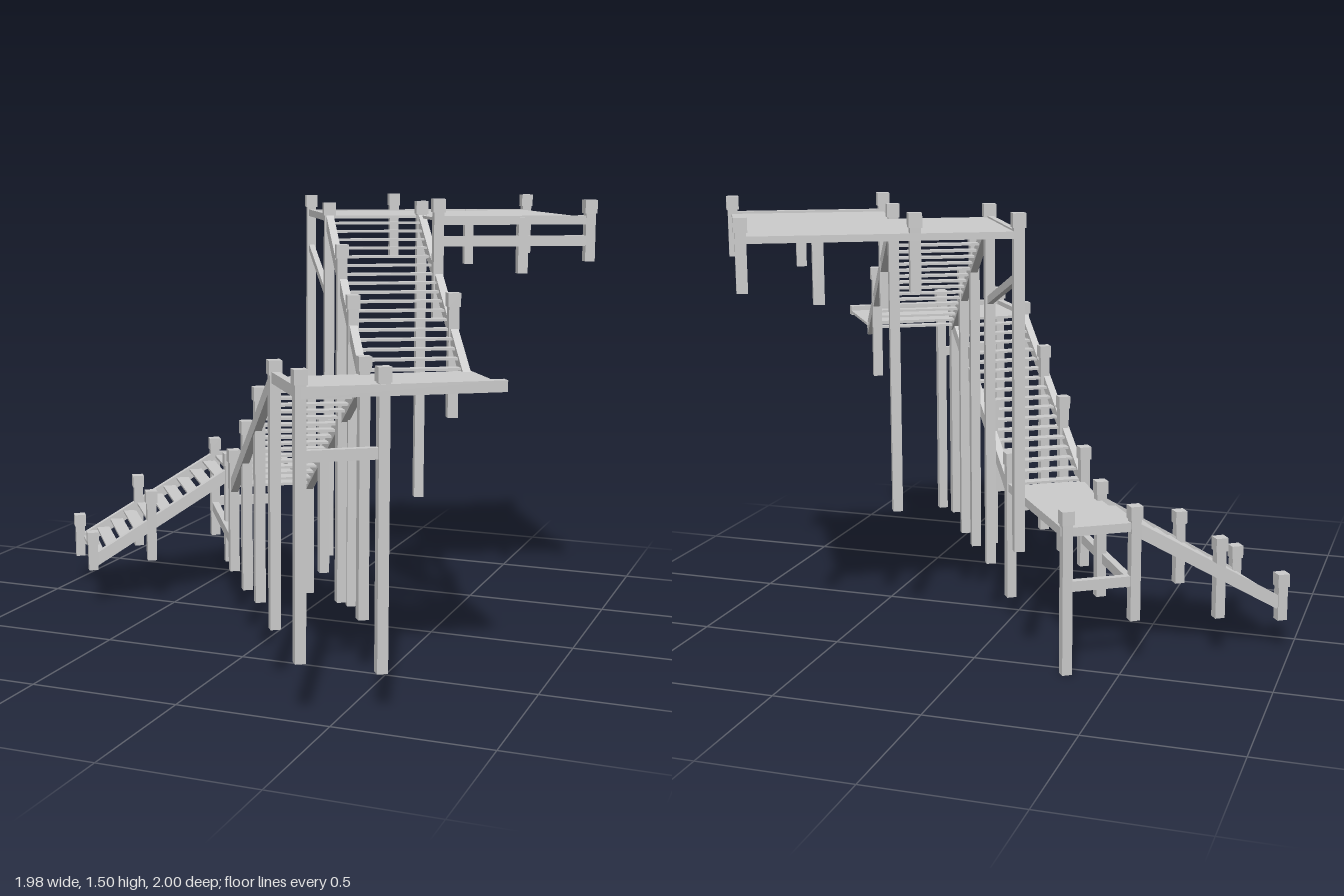
import * as THREE from 'three';

export function createModel() {
  const model = new THREE.Group();
  const timber = new THREE.MeshStandardMaterial({ color: 0xcccccc });
  timber.name = 'greyTimber';
  const V = (x, y, z) => new THREE.Vector3(x, y, z);

  const add = (name, geometry) => {
    const mesh = new THREE.Mesh(geometry, timber);
    mesh.name = name;
    model.add(mesh);
    return mesh;
  };

  // Straight timber between two points
  const beam = (name, a, b, w = 0.025, h = 0.035) => {
    const mesh = add(name, new THREE.BoxGeometry(w, h, a.distanceTo(b)));
    mesh.position.copy(a).lerp(b, 0.5);
    mesh.lookAt(b);
  };

  // Square post with a slightly wider cap
  const post = (name, x, z, bottom, top, yaw, cap = true) => {
    const shaft = add(name, new THREE.BoxGeometry(0.034, top - bottom, 0.034));
    shaft.position.set(x, (top + bottom) / 2, z);
    shaft.rotation.y = yaw;
    if (!cap) return;
    const head = add(name + 'Cap', new THREE.BoxGeometry(0.042, 0.045, 0.042));
    head.position.set(x, top - 0.02, z);
    head.rotation.y = yaw;
  };

  // Thin floor sheet from an [x, z] outline
  const floor = (name, y, outline) => {
    const shape = new THREE.Shape(outline.map(([x, z]) => new THREE.Vector2(x, z)));
    const g = new THREE.ExtrudeGeometry(shape, { depth: 0.01, bevelEnabled: false });
    g.rotateX(Math.PI / 2);
    add(name, g).position.y = y;
  };

  // Two stringers and a run of open treads
  const stair = (name, a0, a1, b0, b1, count) => {
    beam(name + 'Stringer', a0, a1, 0.026, 0.042);
    beam(name + 'Stringer', b0, b1, 0.026, 0.042);
    const run = Math.hypot(a1.x - a0.x, a1.z - a0.z);
    for (let i = 0; i < count; i++) {
      const t = (i + 0.5) / count;
      beam(name + 'Tread', a0.clone().lerp(a1, t), b0.clone().lerp(b1, t), (run / count) * 0.92, 0.008);
    }
  };

  const lowYaw = -0.963, highYaw = -1.063;

  // Lower flight
  stair('lowerStair', V(-0.955, 0.17, -0.123), V(-0.525, 0.475, -0.42),
    V(-0.763, 0.165, 0.138), V(-0.34, 0.475, -0.148), 10);
  // Middle flight
  stair('middleStair', V(-0.22, 0.475, 0.075), V(0.198, 0.965, 0.694),
    V(0.01, 0.475, -0.07), V(0.435, 0.96, 0.54), 17);
  // Upper flight
  stair('upperStair', V(0.44, 0.94, 0.545), V(0.07, 1.425, -0.115),
    V(0.725, 0.94, 0.385), V(0.36, 1.425, -0.27), 18);

  // Floors
  floor('lowerLanding', 0.485, [[-0.525, -0.42], [-0.325, -0.55], [0.01, -0.07], [-0.22, 0.075], [-0.34, -0.148]]);
  floor('middleLanding', 0.975, [[0.198, 0.694], [0.39, 0.965], [0.905, 0.61], [0.72, 0.335]]);
  floor('upperDeck', 1.437, [[-0.18, -0.578], [0.565, -0.975], [0.965, -0.265],
    [0.5, -0.015], [0.36, -0.27], [0.07, -0.115]]);

  // Rim boards around the floors
  beam('lowerLandingRim', V(-0.525, 0.483, -0.42), V(-0.325, 0.483, -0.55), 0.025, 0.03);
  beam('lowerLandingRim', V(-0.325, 0.483, -0.55), V(0.01, 0.483, -0.07), 0.025, 0.03);
  beam('middleLandingRim', V(0.198, 0.975, 0.694), V(0.39, 0.975, 0.965), 0.025, 0.035);
  beam('middleLandingRim', V(0.39, 0.975, 0.965), V(0.905, 0.975, 0.61), 0.034, 0.035);
  beam('upperDeckBackRim', V(-0.18, 1.43, -0.578), V(0.565, 1.43, -0.975), 0.03, 0.022);
  beam('upperDeckSideRim', V(-0.18, 1.43, -0.578), V(0.07, 1.43, -0.115), 0.02, 0.025);
  beam('upperDeckFrontRim', V(0.5, 1.43, -0.015), V(0.965, 1.43, -0.265), 0.025, 0.03);

  // Braces between posts
  beam('lowerBrace', V(-0.525, 0.28, -0.42), V(-0.22, 0.275, 0.075));
  beam('lowerBrace', V(-0.525, 0.3, -0.42), V(-0.325, 0.3, -0.55));
  beam('middleBrace', V(0.39, 0.788, 0.965), V(0.595, 0.788, 0.82));
  beam('upperBrace', V(-0.18, 1.3, -0.578), V(0.07, 1.15, -0.115), 0.02, 0.026);
  beam('upperBrace', V(0.5, 1.36, -0.015), V(0.965, 1.36, -0.265));

  // Posts of the lower and middle flights: x, z, bottom, top
  for (const p of [
    [-0.963, -0.117, 0.11, 0.27], [-0.773, -0.243, 0.14, 0.415],
    [-0.525, -0.42, 0.165, 0.55], [-0.33, -0.545, 0, 0.55],
    [-0.763, 0.138, 0.135, 0.275], [-0.583, 0.016, 0.16, 0.42], [-0.34, -0.148, 0.14, 0.55],
    [-0.22, 0.075, 0.17, 0.61], [-0.09, 0.255, 0.16, 0.75], [0.04, 0.446, 0.18, 0.9],
    [0.198, 0.694, 0.175, 1.025], [0.01, -0.07, 0.075, 0.605], [0.14, 0.117, 0.21, 0.75],
    [0.29, 0.345, 0.18, 0.9], [0.435, 0.54, 0.19, 1.03],
    [0.39, 0.965, 0.17, 1.04], [0.595, 0.82, 0.12, 1.04],
  ]) post('stairPost', ...p, lowYaw);

  // Posts of the upper flight and deck
  for (const p of [
    [0.325, 0.34, 0.17, 1.2], [0.22, 0.16, 0.18, 1.35], [0.07, -0.115, 0.21, 1.48],
    [0.62, 0.2, 0.8, 1.205], [0.5, -0.015, 1.1, 1.5], [0.36, -0.27, 0.42, 1.485],
    [-0.18, -0.578, 0.415, 1.495], [0.105, -0.725, 1.26, 1.5],
    [0.565, -0.975, 1.27, 1.495], [0.96, -0.265, 1.29, 1.495],
  ]) post('deckPost', ...p, highYaw);
  post('deckStub', 0.365, -0.865, 1.23, 1.44, highYaw, false);
  post('deckStub', 0.755, -0.155, 1.25, 1.44, highYaw, false);

  return model;
}
